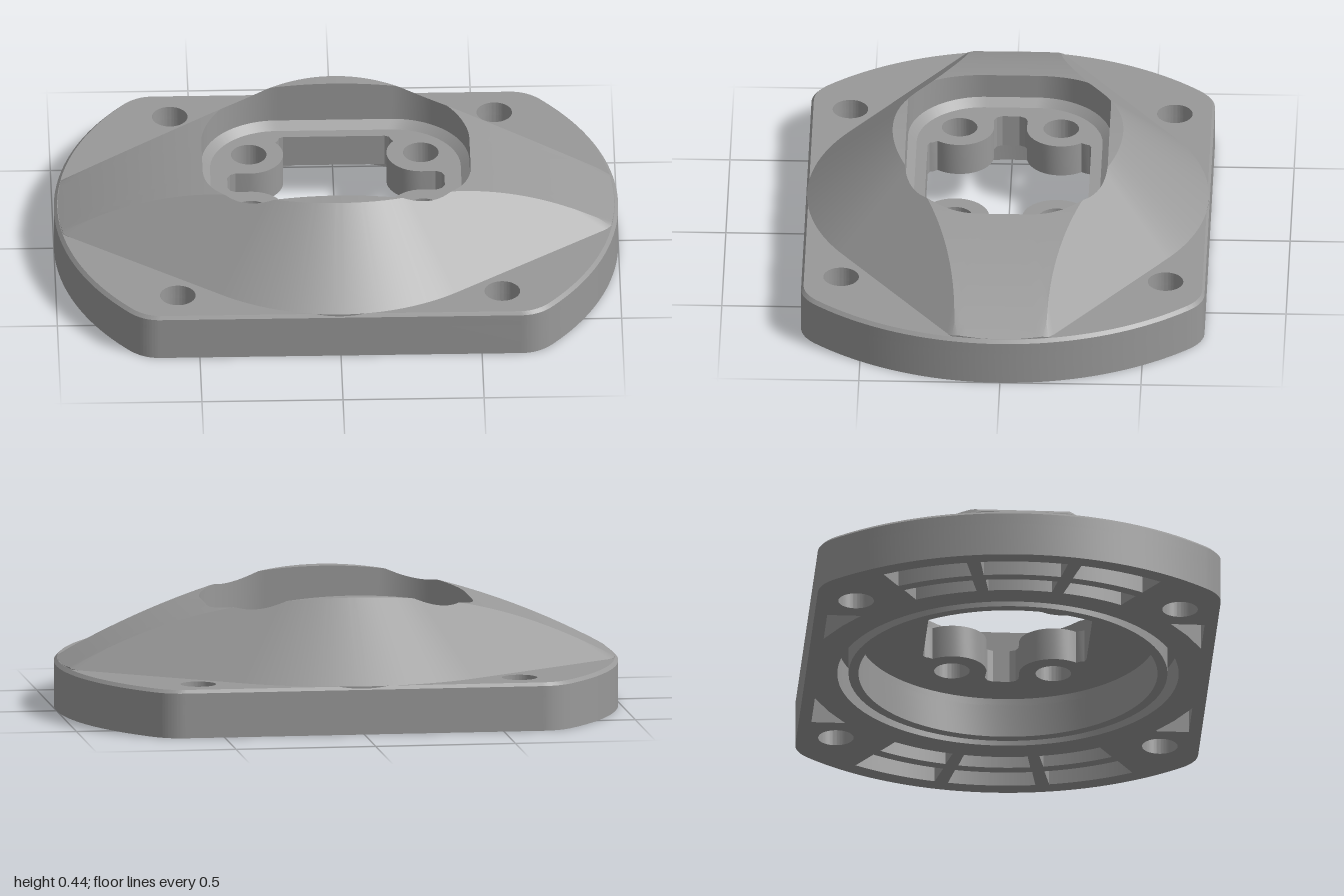
import * as THREE from 'three';
import { toCreasedNormals } from 'three/addons/utils/BufferGeometryUtils.js';

const PLATE = 0.172;            // top of the base plate
const FLOOR = 0.267, UNDER = 0.147; // inner floor, top and underside
const R = 0.712, SLOPE = 0.9;   // flank footprint radius and rise
const NX = 0.588, NZ = 0.809;   // normal of the flat flanks

const circle = (x, y, r) => new THREE.Path().absarc(x, y, r, 0, Math.PI * 2);
const mirror4 = (fn) => [[1, 1], [-1, 1], [-1, -1], [1, -1]].map(([sx, sz]) => fn(sx, sz));

// Flat slab: shape drawn in x/z, extruded between two heights
function slab(shape, y0, y1) {
  const g = new THREE.ExtrudeGeometry(shape, { depth: y1 - y0, bevelEnabled: false, curveSegments: 40 });
  g.rotateX(Math.PI / 2).translate(0, y1, 0);
  return g;
}

// Round plate with two flat sides, soft corners and four screw holes
function plateShape(boreRadius) {
  const s = new THREE.Shape();
  s.absarc(0, 0, 1, -0.73, 0.73);
  s.quadraticCurveTo(0.699, 0.715, 0.64, 0.715);
  s.lineTo(-0.64, 0.715);
  s.quadraticCurveTo(-0.699, 0.715, -0.745, 0.667);
  s.absarc(0, 0, 1, Math.PI - 0.73, Math.PI + 0.73);
  s.quadraticCurveTo(-0.699, -0.715, -0.64, -0.715);
  s.lineTo(0.64, -0.715);
  s.quadraticCurveTo(0.699, -0.715, 0.745, -0.667);
  s.holes.push(circle(0, 0, boreRadius));
  s.holes.push(...mirror4((sx, sz) => circle(sx * 0.575, sz * 0.575, 0.063)));
  return s;
}

// Curved pocket between two radii and two angles
function sector(r0, r1, a0, a1) {
  const p = new THREE.Path();
  p.absarc(0, 0, r1, a0, a1, false);
  p.absarc(0, 0, r0, a1, a0, true);
  p.closePath();
  return p;
}

function ribbedShape() {
  const s = plateShape(0.605);
  const deg = Math.PI / 180;
  for (const side of [0, 180]) {
    for (const k of [-1, 0, 1]) {
      const mid = side + k * 22;
      s.holes.push(sector(0.70, 0.79, (mid - 9.3) * deg, (mid + 9.3) * deg));
      s.holes.push(sector(0.83, 0.94, (mid - 9.5) * deg, (mid + 9.5) * deg));
    }
  }
  // Triangular pockets beside the flat edges
  s.holes.push(...mirror4((sx, sz) => new THREE.Path(
    [[0.25, 0.67], [0.45, 0.67], [0.45, 0.55], [0.36, 0.612]].map(([x, z]) => new THREE.Vector2(x * sx, z * sz)))));
  return s;
}

// Inner floor with a cross-shaped opening around four screw bosses
function floorShape() {
  const q = [[0.385, 0.03], [0.375, 0.05], [0.355, 0.06]];
  for (let i = 0; i <= 16; i++) {
    const a = THREE.MathUtils.degToRad(270 - (i / 16) * 128);
    q.push([0.305 + 0.122 * Math.cos(a), 0.18 + 0.122 * Math.sin(a)]);
  }
  q.push([0.2, 0.268], [0.195, 0.283], [0.18, 0.29]);
  const back = [...q].reverse();
  const pts = [
    ...q,
    ...back.map(([x, z]) => [-x, z]),
    ...q.map(([x, z]) => [-x, -z]),
    ...back.map(([x, z]) => [x, -z]),
  ];
  const s = new THREE.Shape().absarc(0, 0, 0.535, 0, Math.PI * 2);
  s.holes.push(new THREE.Path(pts.map(([x, z]) => new THREE.Vector2(x, z))));
  s.holes.push(...mirror4((sx, sz) => circle(sx * 0.305, sz * 0.18, 0.063)));
  return s;
}

// Heights of the arched roof and the sloping flanks
const roof = (x) => 0.445 - 0.281 * x * x;
function flank(x, z) {
  x = Math.abs(x); z = Math.abs(z);
  const reach = x * NZ < z * NX ? Math.hypot(x, z) : x * NX + z * NZ;
  return PLATE + SLOPE * (R - reach);
}

// Distance along a ray at which a rising function turns positive
function solve(fn, c, s, lo, hi) {
  for (let i = 0; i < 40; i++) {
    const m = (lo + hi) / 2;
    if (fn(m * c, m * s) > 0) hi = m; else lo = m;
  }
  return lo;
}

// Rounded rectangle of the top opening
const opening = (inset) => (x, z) => {
  const r = 0.27 - inset;
  const dx = Math.abs(x) - 0.205, dz = Math.abs(z) - 0.09;
  return Math.hypot(Math.max(dx, 0), Math.max(dz, 0)) + Math.min(Math.max(dx, dz), 0) - r;
};

// Dome lofted along rays: skirt, flank, roof, then down the opening wall
function domeGeometry() {
  const N = 288, ROOF_STEPS = 10;
  const columns = [];
  for (let j = 0; j <= N; j++) {
    const a = (j / N) * Math.PI * 2, c = Math.cos(a), s = Math.sin(a);
    const foot = solve((x, z) => Math.max(PLATE - flank(x, z), Math.hypot(x, z) - 0.986), c, s, 0, 1.2);
    const hole = solve(opening(0), c, s, 0, 0.8);
    const lip = solve(opening(0.033), c, s, 0, 0.8);
    const crease = solve((x, z) => roof(x) - flank(x, z), c, s, hole, foot);
    const top = (r) => Math.min(roof(r * c), flank(r * c, r * s));
    const col = [[foot, PLATE - 0.01], [foot, top(foot)]];
    for (let i = 0; i <= ROOF_STEPS; i++) {
      const r = crease + (hole - crease) * (i / ROOF_STEPS);
      col.push([r, top(r)]);
    }
    col.push([hole, FLOOR + 0.025], [lip, FLOOR - 0.002]);
    columns.push(col.map(([r, y]) => [r * c, y, r * s]));
  }
  const pos = [];
  for (let j = 0; j < N; j++) {
    const A = columns[j], B = columns[j + 1];
    for (let i = 0; i < A.length - 1; i++) {
      pos.push(...A[i], ...A[i + 1], ...B[i], ...B[i], ...A[i + 1], ...B[i + 1]);
    }
  }
  const g = new THREE.BufferGeometry();
  g.setAttribute('position', new THREE.Float32BufferAttribute(pos, 3));
  return g;
}

export function createModel() {
  const group = new THREE.Group();
  const grey = new THREE.MeshStandardMaterial({ color: 0x999999 });
  grey.name = 'plain grey';
  const add = (name, geometry) => {
    const mesh = new THREE.Mesh(toCreasedNormals(geometry, 0.4), grey);
    mesh.name = name;
    group.add(mesh);
  };

  // Base: ribbed underside, solid top and a chamfered edge
  add('ribbedBase', slab(ribbedShape(), 0, 0.12));
  add('basePlate', slab(plateShape(0.53), 0.12, 0.16));
  const edge = slab(plateShape(0.53), 0.16, PLATE);
  const p = edge.attributes.position;
  for (let i = 0; i < p.count; i++) {
    const x = p.getX(i), z = p.getZ(i);
    if (p.getY(i) > 0.166 && (Math.hypot(x, z) > 0.97 || Math.abs(z) > 0.66)) {
      p.setXYZ(i, x * 0.988, PLATE, z * 0.988);
    }
  }
  add('chamferedEdge', edge);

  // Ring around the bore, leaving a groove outside it
  const ring = new THREE.Shape().absarc(0, 0, 0.565, 0, Math.PI * 2);
  ring.holes.push(circle(0, 0, 0.53));
  add('boreRing', slab(ring, 0, 0.125));

  add('innerFloor', slab(floorShape(), UNDER, FLOOR));
  add('dome', domeGeometry());
  return group;
}
